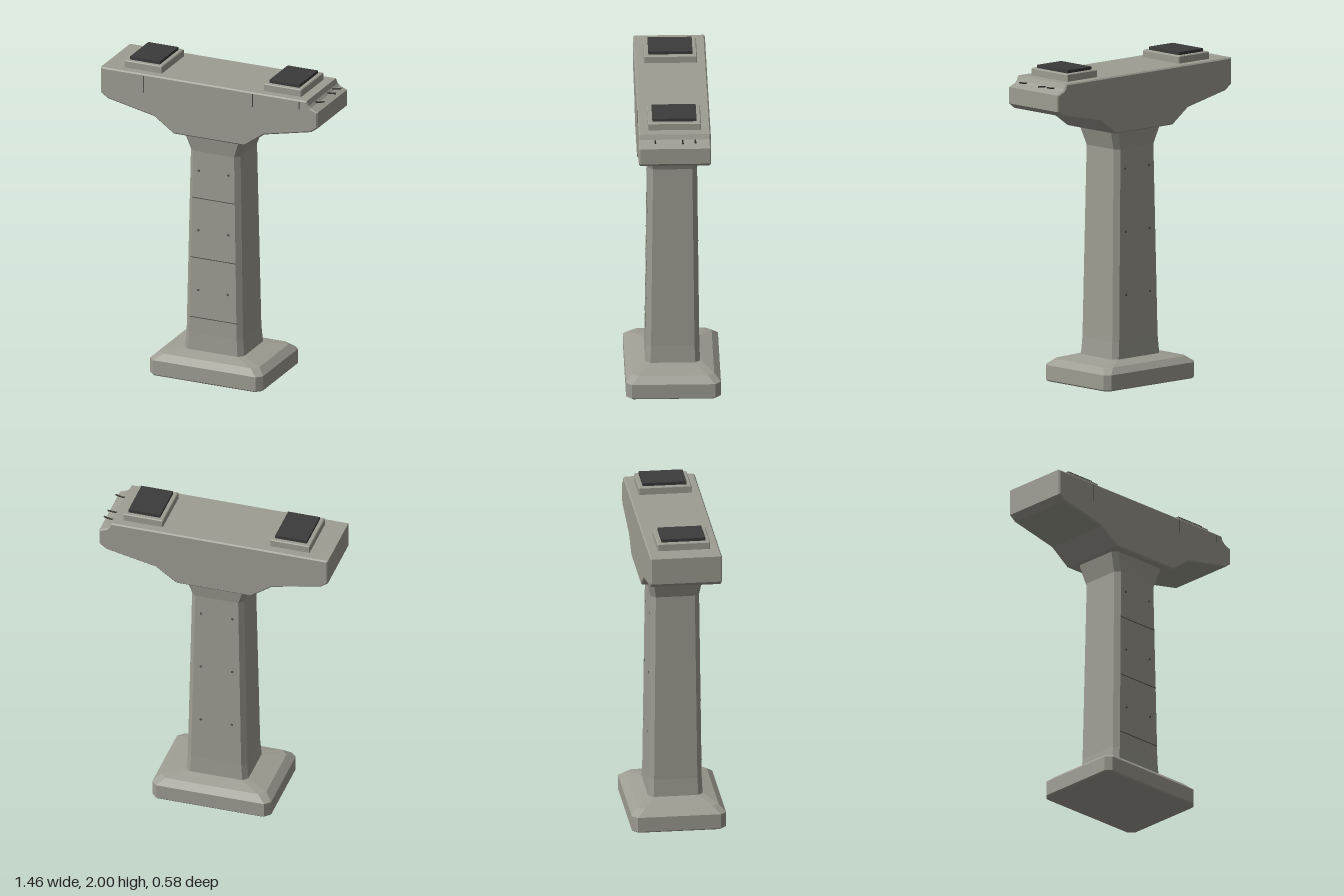
import * as THREE from 'three';

// Stacked chamfered-rectangle sections: [y, halfX, halfZ, chamfer]
function loft(sections) {
  const pos = [], idx = [];
  for (const [y, a, b, c] of sections) {
    const ring = [[a, b - c], [a, c - b], [a - c, -b], [c - a, -b], [-a, c - b], [-a, b - c], [c - a, b], [a - c, b]];
    for (const [x, z] of ring) pos.push(x, y, z);
  }
  const n = sections.length;
  for (let s = 0; s < n - 1; s++) {
    for (let i = 0; i < 8; i++) {
      const p = s * 8 + i, q = s * 8 + (i + 1) % 8;
      idx.push(p, q, q + 8, p, q + 8, p + 8);
    }
  }
  const top = (n - 1) * 8;
  for (let i = 1; i < 7; i++) {
    idx.push(0, i + 1, i);
    idx.push(top, top + i, top + i + 1);
  }
  const g = new THREE.BufferGeometry();
  g.setAttribute('position', new THREE.Float32BufferAttribute(pos, 3));
  g.setIndex(idx);
  const flat = g.toNonIndexed();
  flat.computeVertexNormals();
  return flat;
}

export function createModel() {
  const group = new THREE.Group();
  const concrete = new THREE.MeshStandardMaterial({ name: 'concrete', color: 0x9e9d93 });
  const rubber = new THREE.MeshStandardMaterial({ name: 'bearing rubber', color: 0x3b3b3b });
  const steel = new THREE.MeshStandardMaterial({ name: 'rebar steel', color: 0x39332e });
  const seam = new THREE.MeshStandardMaterial({ name: 'seam shadow', color: 0x55544e });

  function add(name, geometry, material, x = 0, y = 0, z = 0) {
    const mesh = new THREE.Mesh(geometry, material);
    mesh.name = name;
    mesh.position.set(x, y, z);
    group.add(mesh);
    return mesh;
  }

  // Footing with sloped shoulders
  add('footing', loft([
    [0, 0.372, 0.282, 0.035], [0.008, 0.38, 0.29, 0.035], [0.1, 0.38, 0.29, 0.035],
    [0.138, 0.335, 0.25, 0.04], [0.162, 0.2, 0.17, 0.03],
  ]), concrete);

  // Tapered column, flared under the cap
  add('column', loft([
    [0.15, 0.2, 0.168, 0.03], [0.27, 0.19, 0.163, 0.03],
    [1.46, 0.167, 0.15, 0.03], [1.58, 0.208, 0.168, 0.03],
  ]), concrete);

  // Hammerhead cap with one broken upper end
  const bevel = 0.008;
  const outline = [
    [-0.73, 1.935], [-0.73, 1.77], [-0.685, 1.737], [-0.37, 1.67], [-0.24, 1.577],
    [0.24, 1.577], [0.37, 1.67], [0.685, 1.737], [0.73, 1.77],
    [0.73, 1.872], [0.682, 1.892], [0.668, 1.906], [0.655, 1.935],
  ].map(([x, y]) => new THREE.Vector2(x, y));
  const capGeometry = new THREE.ExtrudeGeometry(new THREE.Shape(outline), {
    depth: 0.44 - 2 * bevel, bevelEnabled: true, bevelSegments: 1,
    bevelSize: bevel, bevelThickness: bevel, bevelOffset: -bevel,
  });
  add('pierCap', capGeometry, concrete, 0, 0, -0.22 + bevel);

  // Bearing plinths and pads
  for (const x of [-0.47, 0.468]) {
    add('bearingPlinth', loft([
      [1.93, 0.127, 0.162, 0.004], [1.976, 0.127, 0.162, 0.004], [1.981, 0.122, 0.157, 0.004],
    ]), concrete, x);
    add('bearingPad', new THREE.BoxGeometry(0.202, 0.022, 0.27), rubber, x, 1.989);
  }

  // Exposed rebar at the broken end
  for (const [z, tip] of [[-0.125, 1.911], [-0.048, 1.905], [0.12, 1.911]]) {
    const path = new THREE.CatmullRomCurve3([
      new THREE.Vector3(0.65, 1.9, z), new THREE.Vector3(0.69, 1.902, z), new THREE.Vector3(0.73, tip, z),
    ]);
    add('rebar', new THREE.TubeGeometry(path, 6, 0.005, 6), steel);
    const end = add('rebarEnd', new THREE.CircleGeometry(0.005, 6), steel, 0.73, tip, z);
    end.rotation.y = Math.PI / 2;
  }

  // Column half sizes at height y
  const halfX = (y) => 0.19 - (y - 0.27) / 1.19 * 0.023;
  const halfZ = (y) => 0.163 - (y - 0.27) / 1.19 * 0.013;

  // Pour seams on the front face
  for (const y of [0.375, 0.765, 1.155]) {
    add('pourSeam', new THREE.BoxGeometry(2 * halfX(y) - 0.06, 0.005, 0.004), seam, 0, y, halfZ(y));
  }

  // Formwork tie holes on front and back
  const tieGeometry = new THREE.CylinderGeometry(0.008, 0.008, 0.004, 10).rotateX(Math.PI / 2);
  for (const y of [0.555, 0.945, 1.335]) {
    for (const x of [-0.1, 0.1]) {
      for (const side of [-1, 1]) add('tieHole', tieGeometry, seam, x, y, side * halfZ(y));
    }
  }

  // Hairline cracks on the cap front
  for (const [x, length] of [[-0.44, 0.11], [0.293, 0.085], [0.606, 0.05]]) {
    add('capCrack', new THREE.BoxGeometry(0.005, length, 0.004), seam, x, 1.925 - length / 2, 0.22);
  }

  return group;
}
